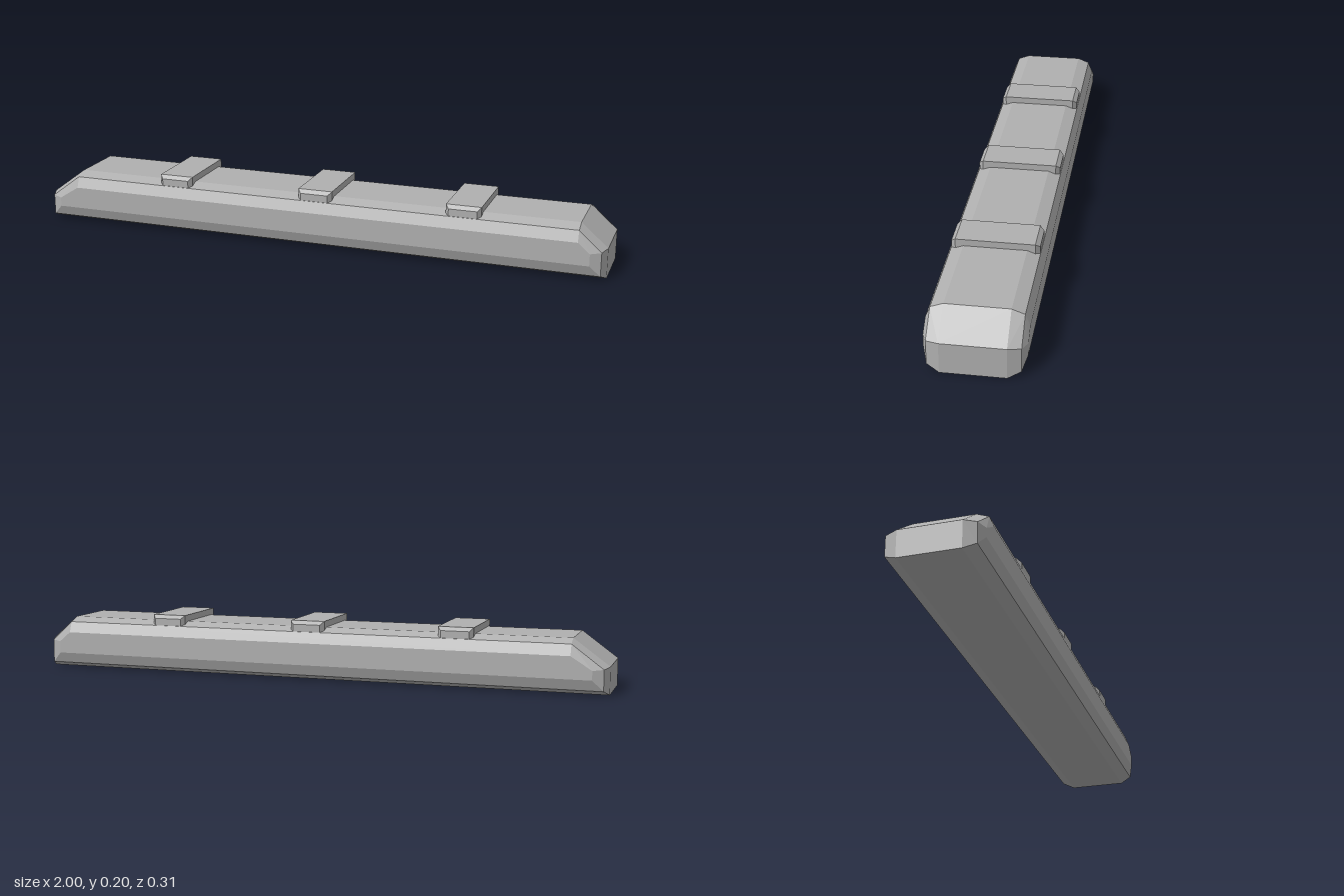
import * as THREE from 'three';
import { ConvexGeometry } from 'three/addons/geometries/ConvexGeometry.js';

const grey = new THREE.MeshStandardMaterial({ color: 0xb0b0b0 });
grey.name = 'grey';

// Faceted solid from corner points mirrored front to back
function mirroredHull(name, corners) {
  const points = [];
  for (const [x, y, z] of corners) {
    points.push(new THREE.Vector3(x, y, z), new THREE.Vector3(x, y, -z));
  }
  const mesh = new THREE.Mesh(new ConvexGeometry(points), grey);
  mesh.name = name;
  return mesh;
}

// Corners of one bevelled end: blunt face below, slope above
function endCorners(side, slopeTop, faceTop) {
  return [
    [1, 0, 0.1], [1, faceTop, 0.1], [slopeTop, 0.18, 0.1],
    [0.985, 0.017, 0.14], [0.985, faceTop - 0.005, 0.14], [slopeTop, 0.165, 0.14],
    [0.95, 0.053, 0.155], [0.95, faceTop - 0.008, 0.155], [slopeTop, 0.128, 0.155],
  ].map(([x, y, z]) => [side * x, y, z]);
}

export function createModel() {
  const group = new THREE.Group();
  group.name = 'bevelledBar';

  // Long bar with bevelled edges and sloping ends
  group.add(mirroredHull('body', [...endCorners(1, 0.91, 0.102), ...endCorners(-1, 0.88, 0.092)]));

  // Three raised straps across the top
  for (const x of [-0.5, 0.015, 0.53]) {
    const corners = [];
    for (const s of [-1, 1]) {
      corners.push(
        [s * 0.06, 0.165, 0.125], [s * 0.06, 0.202, 0.125],
        [s * 0.048, 0.165, 0.139], [s * 0.048, 0.19, 0.139],
      );
    }
    const strap = mirroredHull('strap', corners);
    strap.position.x = x;
    group.add(strap);
  }
  return group;
}
